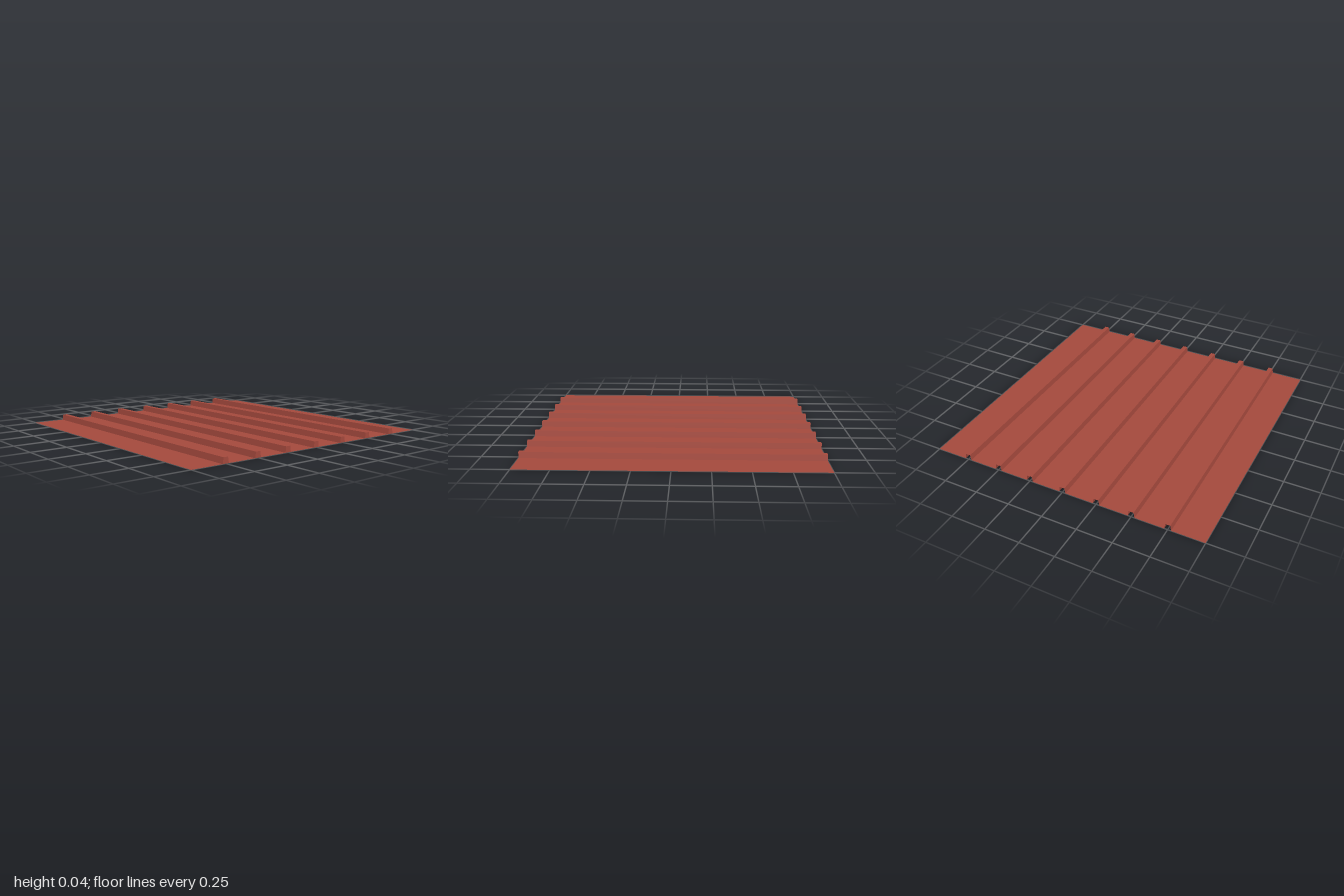
import * as THREE from 'three';

const LENGTH = 2;      // along x
const RIBS = 7, PITCH = 0.25;
const BASE = 0.023, TOP = 0.017, HEIGHT = 0.04; // rib half widths and height

// Sweep an open (z, y) profile along x into a thin flat-shaded sheet
function sheetGeometry(profile) {
  const pos = [];
  const h = LENGTH / 2;
  for (let i = 0; i < profile.length - 1; i++) {
    const [z0, y0] = profile[i], [z1, y1] = profile[i + 1];
    pos.push(-h, y0, z0, -h, y1, z1, h, y1, z1);
    pos.push(-h, y0, z0, h, y1, z1, h, y0, z0);
  }
  const g = new THREE.BufferGeometry();
  g.setAttribute('position', new THREE.Float32BufferAttribute(pos, 3));
  g.computeVertexNormals();
  return g;
}

export function createModel() {
  const group = new THREE.Group();
  group.name = 'ribbedRoofSheet';
  const material = new THREE.MeshStandardMaterial({ color: 0xa4493d, side: THREE.DoubleSide });

  // Folded sheet: flat pans with evenly spaced trapezoid ribs
  const profile = [[-1, 0]];
  const centres = [];
  for (let i = 0; i < RIBS; i++) {
    const z = (i - (RIBS - 1) / 2) * PITCH;
    centres.push(z);
    profile.push([z - BASE, 0], [z - TOP, HEIGHT], [z + TOP, HEIGHT], [z + BASE, 0]);
  }
  profile.push([1, 0]);
  const sheet = new THREE.Mesh(sheetGeometry(profile), material);
  sheet.name = 'sheet';
  group.add(sheet);

  // Ribs are closed at the +x end and open at the other
  const capShape = new THREE.Shape([
    new THREE.Vector2(-BASE, 0), new THREE.Vector2(BASE, 0),
    new THREE.Vector2(TOP, HEIGHT), new THREE.Vector2(-TOP, HEIGHT),
  ]);
  const capGeometry = new THREE.ShapeGeometry(capShape).rotateY(Math.PI / 2);
  for (const z of centres) {
    const cap = new THREE.Mesh(capGeometry, material);
    cap.name = 'ribEndCap';
    cap.position.set(LENGTH / 2, 0, z);
    group.add(cap);
  }
  return group;
}
